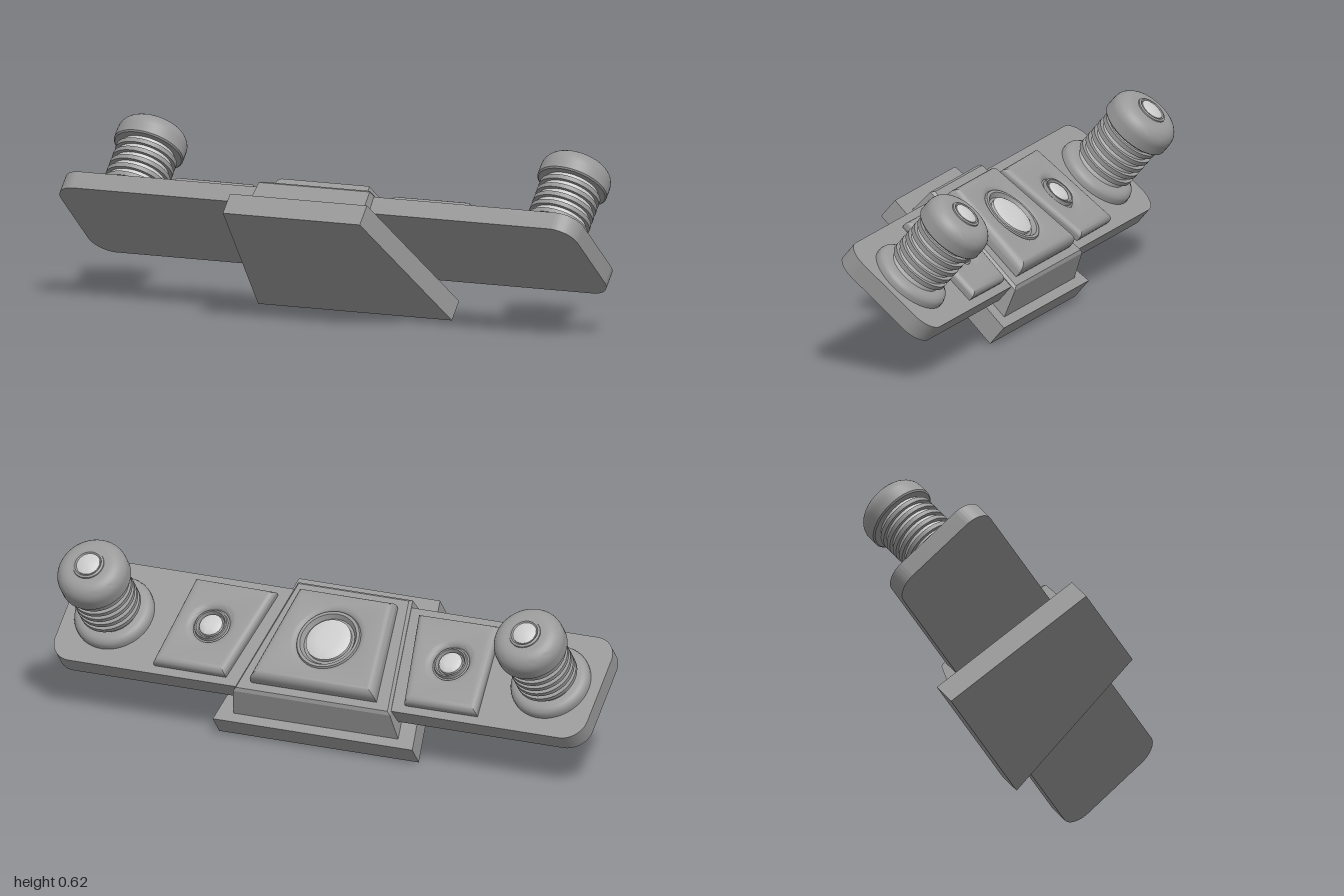
import * as THREE from 'three';
import { toCreasedNormals } from 'three/addons/utils/BufferGeometryUtils.js';

const grey = new THREE.MeshStandardMaterial({ color: 0x999999 });
const pale = new THREE.MeshStandardMaterial({ color: 0xcccccc });

function add(parent, name, geometry, material = grey, x = 0, y = 0, z = 0) {
  const mesh = new THREE.Mesh(geometry, material);
  mesh.name = name;
  mesh.position.set(x, y, z);
  parent.add(mesh);
  return mesh;
}

// Solid through trapezoid rings [y, back z, back half width, front z, front half width]
function loft(rings) {
  const corners = rings.map(([y, zb, wb, zf, wf]) =>
    [[-wf, y, zf], [wf, y, zf], [wb, y, zb], [-wb, y, zb]]);
  const pos = [];
  const quad = (a, b, c, d) => pos.push(...a, ...b, ...c, ...a, ...c, ...d);
  for (let r = 0; r + 1 < corners.length; r++) {
    for (let i = 0; i < 4; i++) {
      const j = (i + 1) % 4;
      quad(corners[r][i], corners[r][j], corners[r + 1][j], corners[r + 1][i]);
    }
  }
  const bottom = corners[0], top = corners[corners.length - 1];
  quad(...top);
  quad(bottom[3], bottom[2], bottom[1], bottom[0]);
  const g = new THREE.BufferGeometry();
  g.setAttribute('position', new THREE.Float32BufferAttribute(pos, 3));
  g.computeVertexNormals();
  return g;
}

// Outline in (x, -z), extruded upward
function slab(shape, depth, bevel = 0, bevelHeight = 0) {
  const g = new THREE.ExtrudeGeometry(shape, {
    depth, curveSegments: 16, bevelEnabled: bevel > 0,
    bevelSize: bevel, bevelThickness: bevelHeight, bevelSegments: 5,
  });
  g.rotateX(-Math.PI / 2);
  return toCreasedNormals(g, 0.6);
}

// Four-cornered plate with a round opening and rounded edges
function socketPlate(corners, holeX, holeR, depth, bevel, bevelHeight) {
  const shape = new THREE.Shape(corners.map(([x, z]) => new THREE.Vector2(x, -z)));
  const hole = new THREE.Path();
  hole.absarc(holeX, 0, holeR, 0, Math.PI * 2, true);
  shape.holes.push(hole);
  return slab(shape, depth, bevel, bevelHeight);
}

function lathe(points, segments = 48) {
  const g = new THREE.LatheGeometry(points.map(([r, y]) => new THREE.Vector2(r, y)), segments);
  return toCreasedNormals(g, 0.6);
}

// Raised rim plus a shallow lens sitting in an opening
function addLens(parent, name, r, x, y) {
  add(parent, name + 'Rim', lathe([
    [r * 1.75, -0.03], [r * 1.75, -0.018], [r * 1.45, -0.014], [r * 1.38, -0.002], [r * 1.25, -0.002],
    [r * 1.12, -0.018], [0, -0.018],
  ]), grey, x, y, 0);
  add(parent, name, lathe([
    [r, -0.02], [r, -0.006], [r * 0.9, -0.002], [r * 0.5, 0.001], [0, 0.002],
  ]), pale, x, y, 0);
}

function createPost() {
  const post = new THREE.Group();
  // rounded foot flange
  add(post, 'postFlange', lathe([
    [0.14, 0.16], [0.14, 0.182], [0.135, 0.194], [0.124, 0.202], [0.112, 0.205], [0, 0.205],
  ]));
  add(post, 'postCore', new THREE.CylinderGeometry(0.095, 0.095, 0.2, 48), pale, 0, 0.3, 0);
  // evenly spaced ribs
  for (let i = 0; i < 5; i++) {
    add(post, 'postRib', new THREE.CylinderGeometry(0.108, 0.108, 0.016, 48), grey, 0, 0.233 + i * 0.0335, 0);
  }
  // domed cap
  const cap = [[0, 0.391], [0.119, 0.391], [0.124, 0.396], [0.124, 0.43]];
  for (let i = 0; i <= 8; i++) {
    const a = i / 8 * Math.PI / 2;
    cap.push([0.07 + 0.054 * Math.cos(a), 0.432 + 0.053 * Math.sin(a)]);
  }
  cap.push([0, 0.485]);
  add(post, 'postCap', lathe(cap));
  add(post, 'postButtonRim', lathe([[0.056, 0.48], [0.054, 0.489], [0.047, 0.492], [0.042, 0.487], [0, 0.487]]));
  add(post, 'postButton', lathe([[0.041, 0.484], [0.041, 0.491], [0.03, 0.496], [0, 0.498]]), pale);
  return post;
}

export function createModel() {
  const model = new THREE.Group();
  model.name = 'controlPanel';
  // everything is laid out flat, then tilted
  const panel = new THREE.Group();
  panel.name = 'tiltedAssembly';
  panel.rotation.x = -THREE.MathUtils.degToRad(40.5);
  panel.position.set(0, 0.188, 0.08);
  model.add(panel);

  add(panel, 'basePlate', loft([
    [0, -0.29, 0.375, 0.295, 0.265],
    [0.078, -0.29, 0.375, 0.295, 0.265],
  ]));

  // long board with rounded corners
  const w = 1, h = 0.203, r = 0.08;
  const outline = new THREE.Shape();
  outline.absarc(w - r, h - r, r, 0, Math.PI / 2);
  outline.absarc(-w + r, h - r, r, Math.PI / 2, Math.PI);
  outline.absarc(-w + r, -h + r, r, Math.PI, Math.PI * 1.5);
  outline.absarc(w - r, -h + r, r, Math.PI * 1.5, Math.PI * 2);
  add(panel, 'longBoard', slab(outline, 0.066), grey, 0, 0.102, 0);

  // tapered block joining base and board
  add(panel, 'centreBlock', loft([
    [0.076, -0.257, 0.31, 0.236, 0.22],
    [0.17, -0.222, 0.295, 0.23, 0.215],
    [0.18, -0.212, 0.285, 0.22, 0.207],
  ]));

  // centre plate with large lens
  add(panel, 'centrePlate', socketPlate(
    [[-0.154, 0.156], [0.154, 0.156], [0.203, -0.158], [-0.203, -0.158]],
    0, 0.134, 0.01, 0.03, 0.034), grey, 0, 0.188, 0);
  addLens(panel, 'centreLens', 0.08, 0, 0.232);

  // mirrored side plates and posts
  for (const s of [-1, 1]) {
    const corners = [[0.298, 0.143], [0.545, 0.143], [0.578, -0.148], [0.36, -0.148]]
      .map(([x, z]) => [s * x, z]);
    if (s < 0) corners.reverse();
    add(panel, 'sidePlate', socketPlate(corners, s * 0.45, 0.092, 0.008, 0.028, 0.022), grey, 0, 0.176, 0);
    addLens(panel, 'sideLens', 0.041, s * 0.45, 0.206);

    const post = createPost();
    post.name = s > 0 ? 'leftPost' : 'rightPost';
    post.position.x = s * 0.82;
    panel.add(post);
  }
  return model;
}
